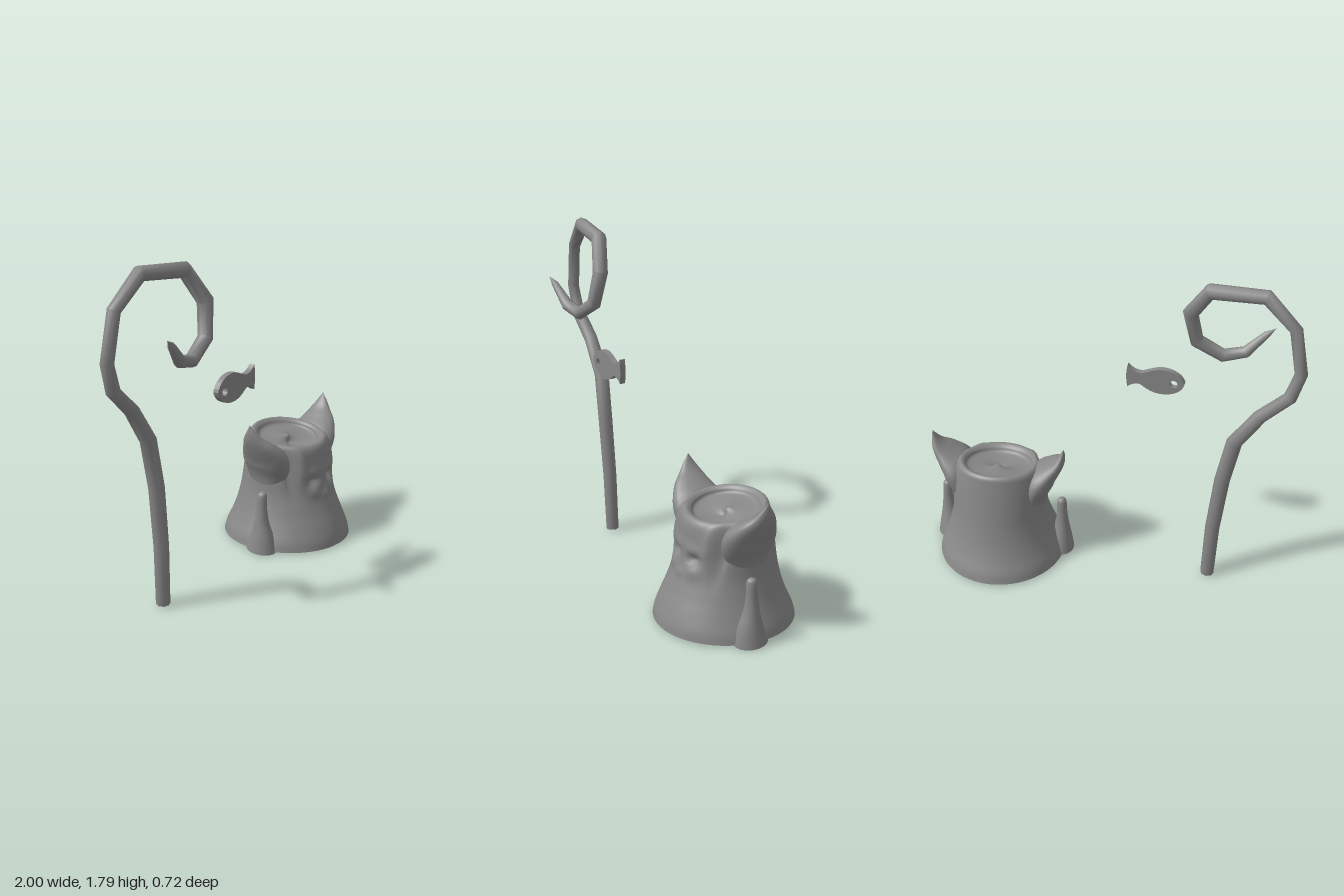
import * as THREE from 'three';
import { toCreasedNormals } from 'three/addons/utils/BufferGeometryUtils.js';

const clay = new THREE.MeshStandardMaterial({ color: 0x888888, side: THREE.DoubleSide });
clay.name = 'clay grey';

function meshOf(geometry, name) {
  const mesh = new THREE.Mesh(geometry, clay);
  mesh.name = name;
  return mesh;
}

// Joins closed rings of points into a skin
function skin(rings, crease) {
  const n = rings[0].length, index = [];
  for (let r = 0; r < rings.length - 1; r++)
    for (let i = 0; i < n; i++) {
      const j = (i + 1) % n, a = r * n + i, b = r * n + j;
      index.push(a, b, b + n, a, b + n, a + n);
    }
  const g = new THREE.BufferGeometry().setFromPoints(rings.flat());
  g.setIndex(index);
  if (crease) return toCreasedNormals(g, crease);
  g.computeVertexNormals();
  return g;
}

// Sweeps an ellipse along stations [x, y, z, thickness, depth along z]
function sweep(stations, sides, crease) {
  const pts = stations.map(s => new THREE.Vector3(s[0], s[1], s[2]));
  const zAxis = new THREE.Vector3(0, 0, 1);
  const rings = stations.map((s, k) => {
    const before = pts[Math.max(k - 1, 0)], after = pts[Math.min(k + 1, pts.length - 1)];
    const t = after.clone().sub(before).normalize();
    const side = t.clone().cross(zAxis).normalize();
    const depth = side.clone().cross(t);
    return Array.from({ length: sides }, (_, i) => {
      const a = i / sides * Math.PI * 2;
      return pts[k].clone().addScaledVector(side, s[3] * Math.cos(a))
        .addScaledVector(depth, -s[4] * Math.sin(a));
    });
  });
  return skin(rings, crease);
}

// Adds smooth in-between stations
function refine(stations, count) {
  const pos = new THREE.CatmullRomCurve3(stations.map(s => new THREE.Vector3(s[0], s[1], s[2])), false, 'catmullrom');
  const size = new THREE.CatmullRomCurve3(stations.map(s => new THREE.Vector3(s[3], s[4], 0)), false, 'catmullrom');
  return Array.from({ length: count + 1 }, (_, i) => {
    const p = pos.getPoint(i / count), q = size.getPoint(i / count);
    return [p.x, p.y, p.z, Math.max(q.x, 0), Math.max(q.y, 0)];
  });
}

// Hooked staff: x, y, z, radius
function makeStaff() {
  const path = [
    [-0.572, 0, 0.03, 0], [-0.572, 0.002, 0.03, 0.037], [-0.585, 0.32, 0.035, 0.039],
    [-0.62, 0.65, 0.04, 0.041], [-0.67, 0.91, 0.035, 0.042], [-0.79, 1.09, 0.04, 0.038],
    [-0.928, 1.22, 0.05, 0.036], [-0.97, 1.36, 0.055, 0.033], [-0.925, 1.6, 0.065, 0.033],
    [-0.772, 1.745, 0.09, 0.039], [-0.492, 1.72, 0.125, 0.041], [-0.392, 1.56, 0.17, 0.042],
    [-0.425, 1.39, 0.195, 0.038], [-0.56, 1.31, 0.215, 0.035], [-0.67, 1.335, 0.235, 0.032],
    [-0.765, 1.435, 0.262, 0.019], [-0.81, 1.47, 0.275, 0]
  ];
  return meshOf(sweep(path.map(p => [...p, p[3]]), 8, 0.9), 'staff');
}

// Flat fish with an eye hole
function makeFish() {
  const s = new THREE.Shape();
  s.moveTo(-0.37, 1.105);
  s.bezierCurveTo(-0.36, 1.15, -0.31, 1.18, -0.25, 1.18);
  s.bezierCurveTo(-0.19, 1.175, -0.16, 1.14, -0.125, 1.145);
  s.quadraticCurveTo(-0.09, 1.15, -0.067, 1.18);
  s.quadraticCurveTo(-0.054, 1.115, -0.067, 1.05);
  s.quadraticCurveTo(-0.1, 1.08, -0.135, 1.075);
  s.bezierCurveTo(-0.17, 1.05, -0.2, 1.03, -0.25, 1.03);
  s.bezierCurveTo(-0.31, 1.03, -0.36, 1.06, -0.37, 1.105);
  const eye = new THREE.Path();
  eye.absarc(-0.314, 1.1, 0.022, 0, Math.PI * 2, true);
  s.holes.push(eye);
  const g = new THREE.ExtrudeGeometry(s, { depth: 0.03, bevelEnabled: false, curveSegments: 8 });
  g.translate(0, 0, 0.2);
  return meshOf(g, 'fish');
}

// Hollow robe and head: height, half width, front depth, back depth
const PROFILE = [
  [0, 0.352, 0.36, 0.36], [0.05, 0.34, 0.35, 0.345], [0.12, 0.313, 0.325, 0.312],
  [0.2, 0.287, 0.292, 0.283], [0.3, 0.265, 0.258, 0.26], [0.4, 0.258, 0.24, 0.244],
  [0.5, 0.25, 0.23, 0.228], [0.57, 0.237, 0.223, 0.216], [0.605, 0.225, 0.21, 0.208],
  [0.618, 0.205, 0.19, 0.19], [0.605, 0.185, 0.165, 0.17], [0.58, 0.17, 0.145, 0.15],
  [0.57, 0.09, 0.08, 0.08], [0.57, 0, 0, 0]
];
// Face relief: x, y, width, height, push
const FACE = [
  [0.075, 0.365, 0.035, 0.022, -0.028], [0.09, 0.305, 0.04, 0.03, 0.012],
  [0.07, 0.415, 0.06, 0.025, 0.008], [0, 0.285, 0.02, 0.018, 0.014],
  [0.195, 0.43, 0.018, 0.12, -0.03], [0.15, 0.46, 0.025, 0.11, 0.018]
];

function makeBody() {
  const wide = new THREE.CatmullRomCurve3(PROFILE.map(p => new THREE.Vector3(p[1], p[0], p[2])), false, 'catmullrom');
  const back = new THREE.CatmullRomCurve3(PROFILE.map(p => new THREE.Vector3(0, p[0], p[3])), false, 'catmullrom');
  const rows = 78, sides = 80, rings = [];
  for (let r = 0; r <= rows; r++) {
    const w = wide.getPoint(r / rows), b = back.getPoint(r / rows);
    rings.push(Array.from({ length: sides }, (_, i) => {
      const a = i / sides * Math.PI * 2, c = Math.cos(a);
      const x = w.x * Math.sin(a);
      const y = w.y * (1 - 0.09 * (1 + c) / 2 * Math.min(1, w.y / 0.5));
      let z = c * (c > 0 ? w.z : b.z);
      // press the face into the outer front wall only
      if (c > 0 && r < rows * 0.7)
        for (const [fx, fy, fw, fh, push] of FACE)
          z += push * Math.min(1, c * 3) * Math.exp(-(((Math.abs(x) - fx) / fw) ** 2) - ((y - fy) / fh) ** 2);
      return new THREE.Vector3(x, y, z);
    }));
  }
  return meshOf(skin(rings), 'body');
}

function makeCreature() {
  const group = new THREE.Group();
  group.name = 'creature';
  group.position.x = 0.6;
  group.add(makeBody());
  for (const s of [1, -1]) {
    const name = s > 0 ? 'left' : 'right';
    // pointed ear flowing up out of the cheek
    const ear = [
      [0.215, 0.22, 0, 0.03, 0.03], [0.205, 0.39, 0.0, 0.062, 0.12], [0.233, 0.5, 0.01, 0.078, 0.145],
      [0.29, 0.57, 0.008, 0.055, 0.115], [0.335, 0.625, 0, 0.034, 0.072],
      [0.358, 0.675, -0.002, 0.017, 0.036], [0.37, 0.727, -0.004, 0, 0]
    ];
    // raised arm widening into the robe
    const arm = [
      [0.325, 0, 0.05, 0.075, 0.09], [0.33, 0.08, 0.055, 0.058, 0.068], [0.334, 0.16, 0.055, 0.041, 0.043],
      [0.336, 0.24, 0.055, 0.029, 0.031], [0.335, 0.315, 0.057, 0.026, 0.027],
      [0.335, 0.337, 0.057, 0.018, 0.019], [0.335, 0.345, 0.057, 0, 0]
    ];
    const mirror = list => list.map(([x, ...rest]) => [x * s, ...rest]);
    group.add(meshOf(sweep(refine(mirror(ear), 24), 24), name + 'Ear'));
    group.add(meshOf(sweep(refine(mirror(arm), 24), 18), name + 'Arm'));
  }
  return group;
}

export function createModel() {
  const model = new THREE.Group();
  model.name = 'creature with staff and fish';
  model.add(makeStaff(), makeFish(), makeCreature());
  return model;
}
